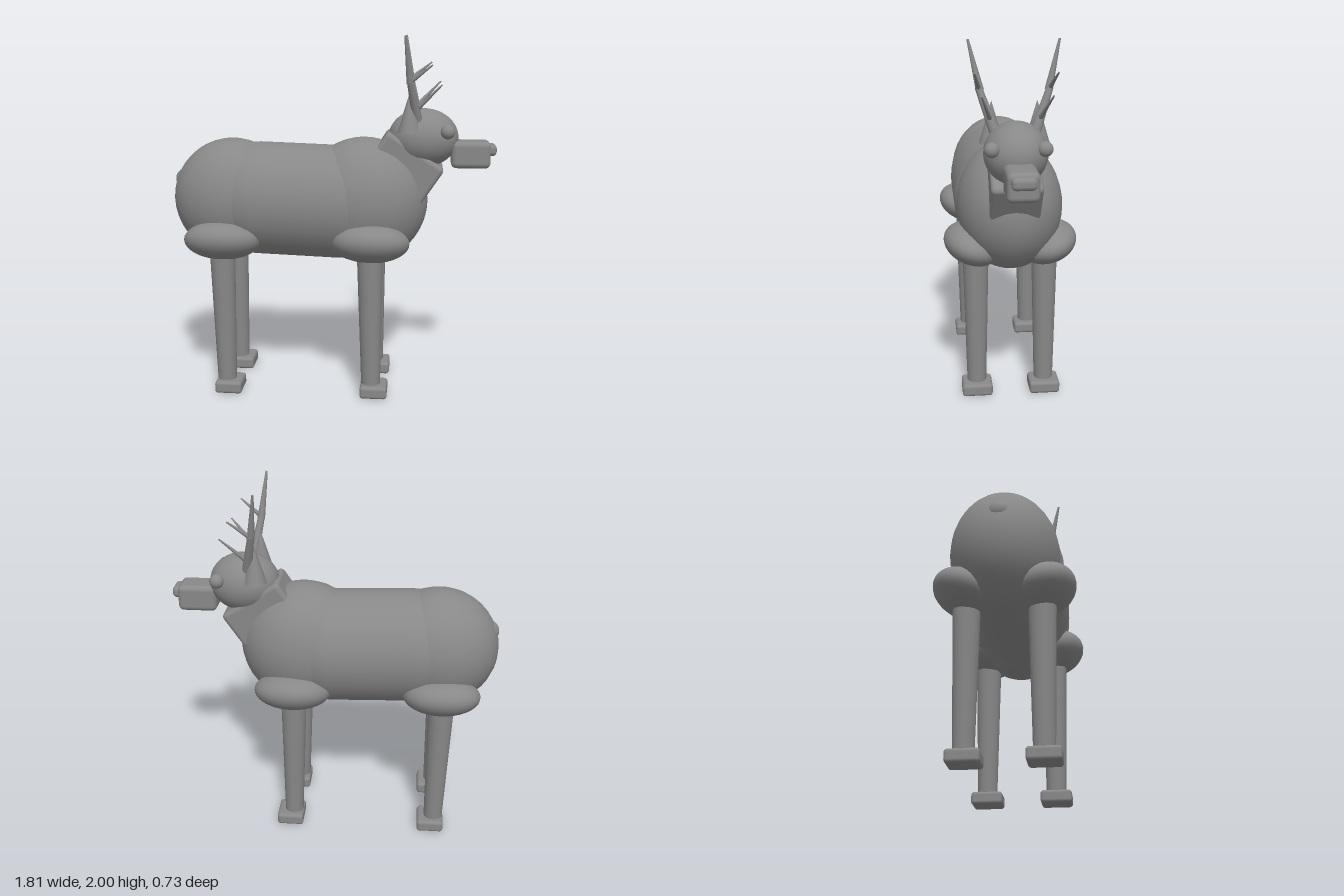
import * as THREE from 'three';
import { RoundedBoxGeometry } from 'three/addons/geometries/RoundedBoxGeometry.js';

export function createModel() {
  const model = new THREE.Group();
  model.name = 'deer';
  const grey = new THREE.MeshStandardMaterial({ color: 0x888888 });
  grey.name = 'grey';

  function add(name, geometry, position, rotation = [0, 0, 0], scale = [1, 1, 1]) {
    const mesh = new THREE.Mesh(geometry, grey);
    mesh.name = name;
    mesh.position.set(...position);
    mesh.rotation.set(...rotation);
    mesh.scale.set(...scale);
    model.add(mesh);
    return mesh;
  }
  const ellipsoid = (name, position, radii, rotation) =>
    add(name, new THREE.SphereGeometry(1, 32, 20), position, rotation, radii);
  const block = (name, position, size, radius, rotation) =>
    add(name, new RoundedBoxGeometry(...size, 3, radius), position, rotation);

  // Tapered round rod between two points
  function rod(name, from, to, r0, r1) {
    const a = new THREE.Vector3(...from), b = new THREE.Vector3(...to);
    const dir = b.clone().sub(a);
    const mesh = add(name, new THREE.CylinderGeometry(r1, r0, dir.length(), 16),
      a.clone().add(b).multiplyScalar(0.5).toArray());
    mesh.quaternion.setFromUnitVectors(new THREE.Vector3(0, 1, 0), dir.normalize());
  }

  // Trunk: capsule barrel between rump and chest
  const barrel = new THREE.CapsuleGeometry(0.3, 0.45, 12, 32);
  barrel.rotateZ(Math.PI / 2);
  add('barrel', barrel, [-0.2, 1.084, 0], [0, 0, -0.033], [1, 1.07, 0.985]);
  ellipsoid('rump', [-0.57, 1.093, 0], [0.336, 0.338, 0.283]);
  ellipsoid('chest', [0.178, 1.09, 0], [0.357, 0.355, 0.288]);
  ellipsoid('tail', [-0.842, 1.195, 0], [0.06, 0.06, 0.06]);

  // Neck, leaning forward
  block('neck', [0.358, 1.219, 0], [0.375, 0.4, 0.265], 0.025, [0, 0, -0.585]);

  // Head
  ellipsoid('head', [0.504, 1.445, 0], [0.193, 0.162, 0.164]);
  block('snout', [0.765, 1.358, 0], [0.214, 0.148, 0.16], 0.03);
  block('nose', [0.862, 1.384, 0], [0.086, 0.064, 0.122], 0.025);

  for (const [side, s] of [['left', 1], ['right', -1]]) {
    // The sides of the body lie along z, since the animal looks along x
    ellipsoid(side + 'Eye', [0.634, 1.492, 0.131 * s], [0.039, 0.039, 0.039]);
    add(side + 'Ear', new THREE.ConeGeometry(0.064, 0.215, 24), [0.428, 1.592, 0.116 * s]);

    // Antler: two beam sections and two tines
    rod(side + 'AntlerBase', [0.472, 1.54, 0.1 * s], [0.428, 1.765, 0.18 * s], 0.028, 0.018);
    rod(side + 'AntlerTip', [0.43, 1.75, 0.172 * s], [0.4, 2.0, 0.229 * s], 0.021, 0.006);
    rod(side + 'UpperTine', [0.43, 1.76, 0.178 * s], [0.545, 1.85, 0.205 * s], 0.013, 0.004);
    rod(side + 'LowerTine', [0.455, 1.6, 0.12 * s], [0.597, 1.745, 0.175 * s], 0.014, 0.004);

    // Legs
    for (const [end, x] of [['Front', 0.227], ['Rear', -0.597]]) {
      const name = side + end;
      ellipsoid(name + 'Thigh', [x, 0.884, 0.204 * s], [0.213, 0.108, 0.163], [-0.3 * s, 0, 0]);
      rod(name + 'Leg', [x + 0.008, 0.04, 0.19 * s], [x - 0.004, 0.88, 0.19 * s], 0.053, 0.073);
      block(name + 'Hoof', [x + 0.025, 0.036, 0.19 * s], [0.152, 0.07, 0.17], 0.018);
    }
  }
  return model;
}
